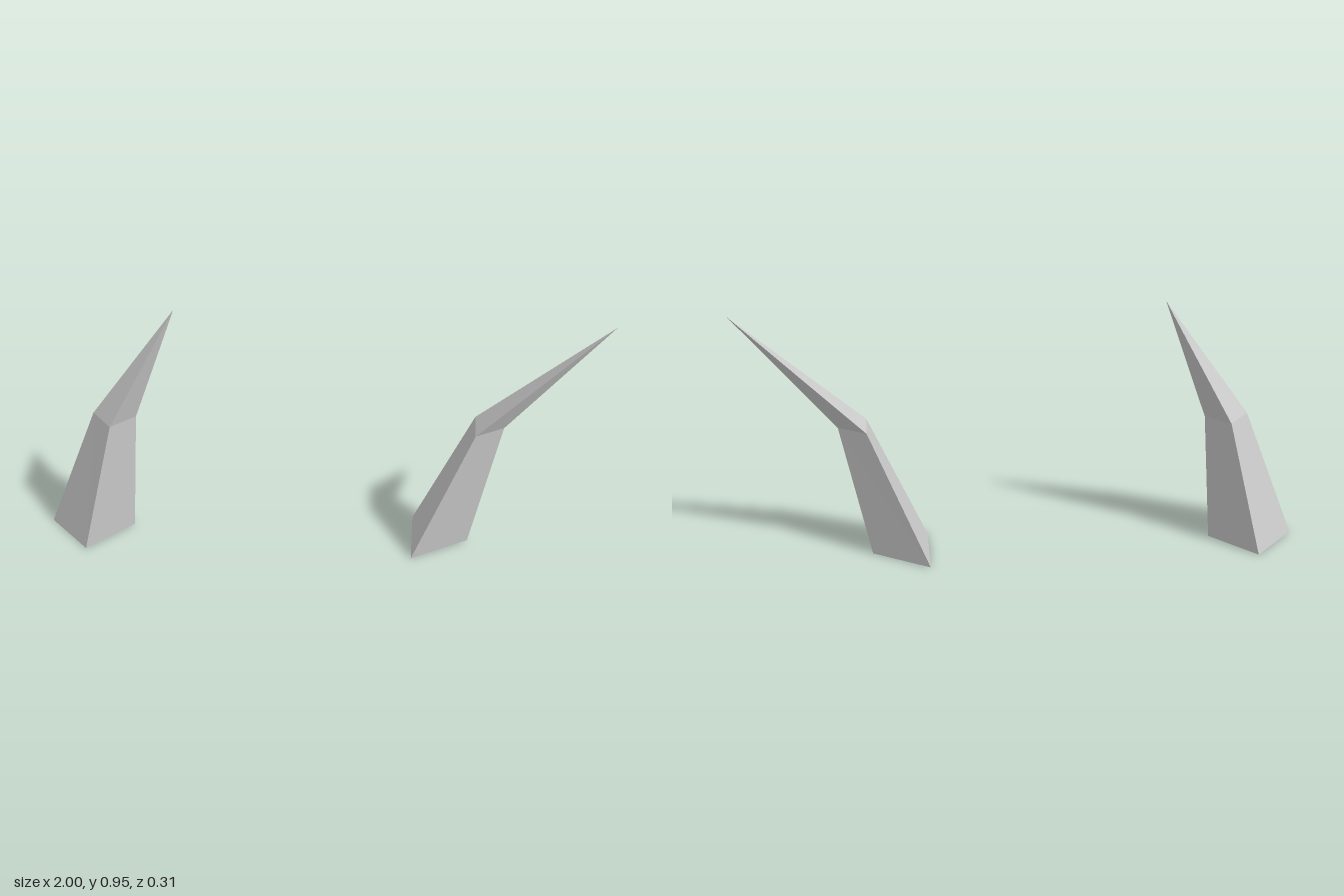
import * as THREE from 'three';

// Faceted horn skinned over matching rings of [x, y, z], closing in a point, open at the base
function hornGeometry(rings, tip) {
  const n = rings[0].length;
  const pos = [];
  const tri = (...corners) => corners.forEach((c) => pos.push(...c));
  for (let i = 0; i < n; i++) {
    const j = (i + 1) % n;
    for (let k = 0; k < rings.length - 1; k++) {
      const a = rings[k], b = rings[k + 1];
      tri(a[i], b[j], a[j]);
      tri(a[i], b[i], b[j]);
    }
    const top = rings[rings.length - 1];
    tri(top[i], tip, top[j]);
  }
  const geo = new THREE.BufferGeometry();
  geo.setAttribute('position', new THREE.Float32BufferAttribute(pos, 3));
  geo.computeVertexNormals();
  return geo;
}

export function createModel() {
  const group = new THREE.Group();
  const grey = new THREE.MeshStandardMaterial({ color: 0xcccccc, flatShading: true, side: THREE.DoubleSide });
  grey.name = 'light grey';

  const add = (name, rings, tip) => {
    const mesh = new THREE.Mesh(hornGeometry(rings, tip), grey);
    mesh.name = name;
    group.add(mesh);
  };

  // Four-sided horn: diamond sections, corners running -x, -z, +x, +z
  // (counter to the skin order, so faces point outwards)
  add('rightHorn', [
    [[-1, 0, 0], [-0.845, 0, -0.153], [-0.69, 0, 0], [-0.845, 0, 0.153]],
    [[-0.803, 0.505, 0], [-0.73, 0.5, -0.076], [-0.65, 0.497, 0], [-0.73, 0.5, 0.076]],
  ].map((ring) => ring), [-0.49, 0.947, 0]);

  // Three-sided horn: flat back towards -x, ridge towards +x
  add('leftHorn', [
    [[0.35, 0, -0.119], [0.555, 0, 0], [0.35, 0, 0.119]],
    [[0.555, 0.518, -0.06], [0.655, 0.517, 0], [0.555, 0.518, 0.06]],
  ], [1, 0.947, 0]);

  return group;
}
